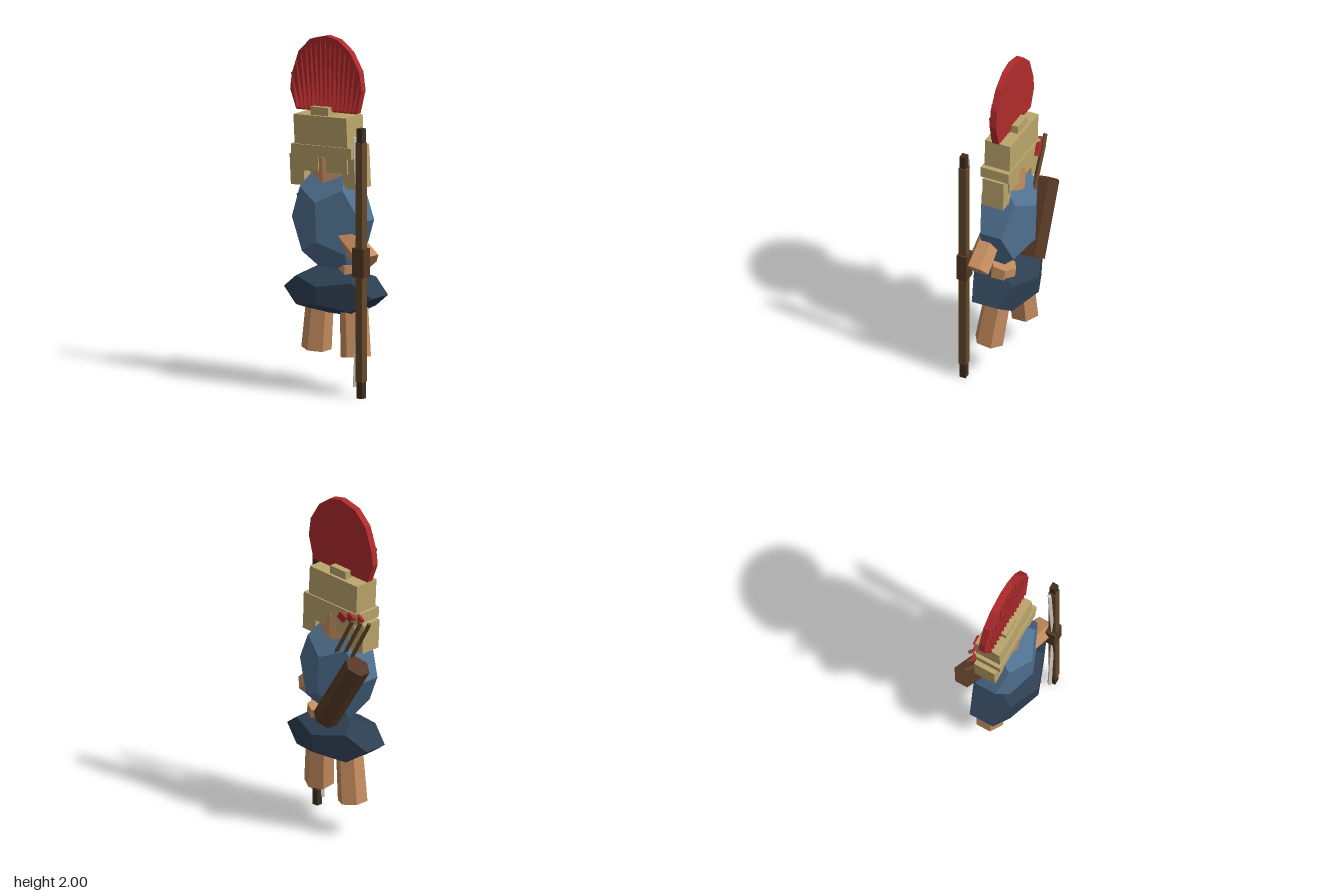
import * as THREE from 'three';

const V = (a) => new THREE.Vector3(...a);
const mat = (color) => new THREE.MeshStandardMaterial({ color, flatShading: true });
const SKIN = mat(0xc68e60), BRASS = mat(0xbba56c), BLUE = mat(0x4f7090), NAVY = mat(0x2c3e50);
const RED = mat(0xb02a2c), WOOD = mat(0x65482a), DARK = mat(0x3f2e20), LEATHER = mat(0x553824), CORD = mat(0xd8d2c6);

export function createModel() {
  const model = new THREE.Group();
  model.name = 'archer';

  const add = (parent, name, geometry, material, pos = [0, 0, 0]) => {
    const mesh = new THREE.Mesh(geometry, material);
    mesh.name = name;
    mesh.position.set(...pos);
    parent.add(mesh);
    return mesh;
  };
  const box = (parent, name, size, pos, material) =>
    add(parent, name, new THREE.BoxGeometry(...size), material, pos);
  // Stretched dodecahedron
  const gem = (name, radii, pos, material) =>
    add(model, name, new THREE.DodecahedronGeometry(1).scale(...radii), material, pos);
  // Prism or cone running from point a to point b
  const limb = (parent, name, a, b, ra, rb, sides, material) => {
    const d = V(b).sub(V(a));
    const mesh = add(parent, name, new THREE.CylinderGeometry(rb, ra, d.length(), sides), material);
    mesh.position.copy(V(a)).addScaledVector(d, 0.5);
    mesh.quaternion.setFromUnitVectors(new THREE.Vector3(0, 1, 0), d.normalize());
    return mesh;
  };

  // Body
  gem('torso', [0.255, 0.316, 0.177], [-0.005, 0.967, 0.006], BLUE).rotation.z = 0.04;
  gem('skirt', [0.327, 0.142, 0.207], [0.015, 0.557, 0.005], NAVY);
  gem('head', [0.14, 0.19, 0.092], [-0.02, 1.25, 0], SKIN).rotation.z = 0.04;
  limb(model, 'leftLeg', [0.178, 0.205, 0.04], [0.11, 0.71, -0.02], 0.085, 0.075, 6, SKIN);
  limb(model, 'rightLeg', [-0.142, 0.205, -0.025], [-0.1, 0.6, -0.015], 0.085, 0.075, 6, SKIN);
  limb(model, 'leftArm', [0.285, 0.755, 0.065], [0.1, 0.91, 0.055], 0.072, 0.065, 6, SKIN);

  // Helmet, slightly tilted
  const helmet = new THREE.Group();
  helmet.name = 'helmet';
  helmet.position.set(-0.03, 1.35, 0.005);
  helmet.rotation.z = 0.05;
  model.add(helmet);
  box(helmet, 'helmetCrown', [0.365, 0.19, 0.155], [0, 0.108, 0], BRASS);
  box(helmet, 'helmetKnob', [0.12, 0.06, 0.12], [-0.015, 0.22, 0], BRASS);
  box(helmet, 'helmetBrim', [0.415, 0.062, 0.172], [0.005, 0.005, 0], BRASS);
  for (const s of [-1, 1]) {
    const side = s > 0 ? 'left' : 'right';
    box(helmet, side + 'CheekGuard', [0.095, 0.175, 0.13], [s * 0.182, -0.112, 0], BRASS);
    box(helmet, side + 'Visor', [0.145, 0.09, 0.15], [s * 0.1, -0.068, 0], BRASS);
  }

  // Crest: flat fan plate with slim feathers on its front
  const crest = new THREE.Group();
  crest.name = 'crest';
  model.add(crest);
  const outline = [[-0.245, 1.56], [0.17, 1.58], [0.205, 1.715], [0.19, 1.82], [0.125, 1.925], [0.04, 1.985],
    [-0.04, 2], [-0.15, 1.97], [-0.23, 1.89], [-0.277, 1.755], [-0.287, 1.67]];
  const fan = new THREE.Shape(outline.map(([x, y]) => new THREE.Vector2(x, y)));
  add(crest, 'crestPlate', new THREE.ExtrudeGeometry(fan, { depth: 0.04, bevelEnabled: false }), RED, [0, 0, -0.015]);
  const feathers = 15;
  for (let i = 0; i < feathers; i++) {
    const t = (i / (feathers - 1)) * 2 - 1;
    const tipY = 1.6 + 0.37 * Math.sqrt(1 - 0.8 * t * t);
    limb(crest, 'crestFeather', [-0.04 + 0.19 * t, 1.58 + 0.01 * t, 0.026],
      [-0.04 + 0.235 * t, tipY, 0.03], 0.016, 0.003, 4, RED);
  }

  // Bow with tipped stave, grip and drawn-in string
  const bow = new THREE.Group();
  bow.name = 'bow';
  model.add(bow);
  box(bow, 'bowStave', [0.048, 1.36, 0.045], [0.29, 0.775, 0.142], WOOD);
  box(bow, 'lowerTip', [0.038, 0.1, 0.036], [0.29, 0.05, 0.142], DARK);
  box(bow, 'upperTip', [0.038, 0.09, 0.036], [0.29, 1.49, 0.142], DARK);
  box(bow, 'bowGrip', [0.078, 0.165, 0.06], [0.287, 0.772, 0.14], LEATHER);
  for (const y of [0.06, 1.48]) {
    limb(bow, 'bowString', [0.244, y, 0.14], [0.28, 0.77, 0.14], 0.013, 0.013, 4, CORD);
  }

  // Quiver slung across the back, with three arrows
  const quiver = new THREE.Group();
  quiver.name = 'quiver';
  model.add(quiver);
  limb(quiver, 'quiverCase', [-0.03, 0.705, -0.128], [-0.26, 1.085, -0.108], 0.075, 0.075, 6, LEATHER);
  for (let i = 0; i < 3; i++) {
    const x = -0.315 + i * 0.048, z = -0.072 - i * 0.018;
    limb(quiver, 'arrowShaft', [x + 0.16, 1.06, z], [x, 1.345, z], 0.013, 0.013, 4, WOOD);
    box(quiver, 'arrowFletching', [0.05, 0.045, 0.017], [x + 0.078, 1.35, z], RED).rotation.z = 0.55;
  }

  return model;
}
